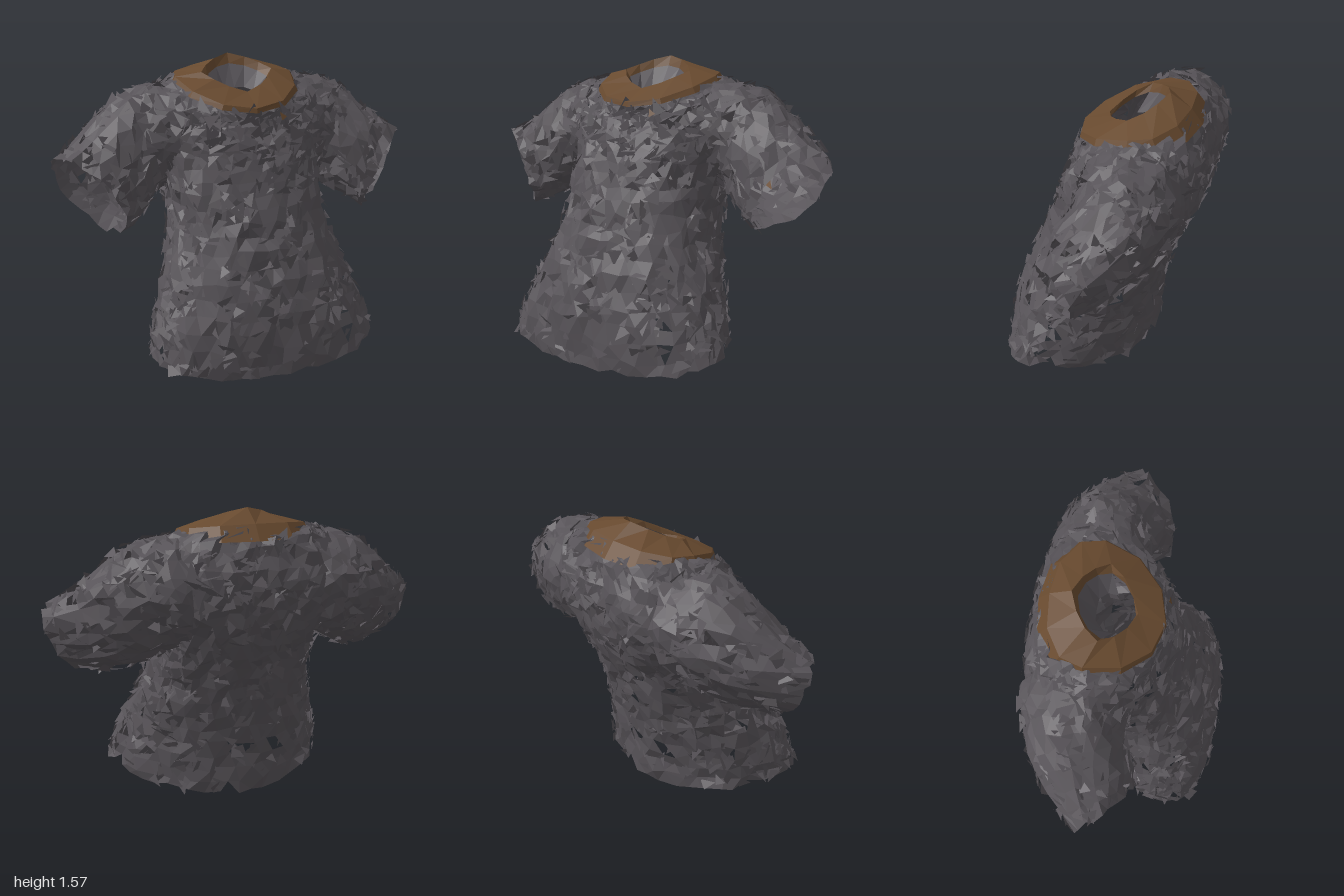
import * as THREE from 'three';

const mail = new THREE.MeshStandardMaterial({ color: 0x575358, side: THREE.DoubleSide, flatShading: true });
mail.name = 'dark grey mail';
const leather = new THREE.MeshStandardMaterial({ color: 0x684a2f, side: THREE.DoubleSide, flatShading: true });
leather.name = 'brown leather';

// Small seeded random, -1..1
let seed = 7;
function rnd() {
  seed = (seed * 16807) % 2147483647;
  return (seed / 2147483647) * 2 - 1;
}
const rndVec = (s) => new THREE.Vector3(rnd() * s, rnd() * s, rnd() * s);

// Smooth interpolation through rows of numbers, t in 0..1
function rowAt(rows, t) {
  const f = Math.min(Math.max(t, 0), 1) * (rows.length - 1);
  const i = Math.min(Math.floor(f), rows.length - 2), k = f - i;
  const a = rows[Math.max(i - 1, 0)], b = rows[i], c = rows[i + 1], d = rows[Math.min(i + 2, rows.length - 1)];
  return b.map((_, j) => b[j] + 0.5 * k * (c[j] - a[j]
    + k * (2 * a[j] - 5 * b[j] + 4 * c[j] - d[j] + k * (3 * (b[j] - c[j]) + d[j] - a[j]))));
}

// Sections: half width, side y, side z, front y, front z, back y, back z,
// squareness of front and of back (2 is an ellipse)
const BODY = [
  [0.62, 0.12, 0.27, 0.02, 0.515, 0.04, -0.285, 2.3, 1.8],
  [0.57, 0.29, 0.20, 0.26, 0.495, 0.26, -0.285, 2.3, 1.9],
  [0.49, 0.50, 0.11, 0.50, 0.43, 0.50, -0.32, 2.4, 2.1],
  [0.425, 0.72, 0.0, 0.72, 0.335, 0.72, -0.375, 2.5, 2.4],
  [0.42, 0.92, -0.10, 0.92, 0.265, 0.92, -0.45, 2.5, 2.8],
  [0.44, 1.10, -0.17, 1.09, 0.205, 1.09, -0.505, 2.5, 3.6],
  [0.45, 1.26, -0.22, 1.20, 0.165, 1.25, -0.515, 2.5, 3.6],
  [0.42, 1.41, -0.22, 1.28, 0.135, 1.40, -0.47, 2.3, 3],
  [0.33, 1.46, -0.20, 1.33, 0.125, 1.495, -0.41, 2, 2.4],
];
const NECK = [0.20, 1.50, -0.15, 1.41, 0.01, 1.575, -0.30, 1.4, 1.4];
const INNER = [0.17, 1.46, -0.14, 1.39, 0.0, 1.52, -0.275, 1.7, 1.7];
const LIP = [0.10, 1.37, -0.10, 1.33, 0.00, 1.40, -0.19, 4, 4];

function sectionPoint(r, u) {
  const a = u * Math.PI * 2, c = Math.cos(a), s = Math.sin(a);
  const [n, o] = s > 0 ? [r[7], 3] : [r[8], 5];
  const rad = (Math.abs(c) ** n + Math.abs(s) ** n) ** (-1 / n), k = Math.abs(s) * rad;
  return new THREE.Vector3(c * rad * r[0], r[1] + (r[o] - r[1]) * k ** 1.3, r[2] + (r[o + 1] - r[2]) * k);
}
const bodyPoint = (u, v) => sectionPoint(rowAt(BODY, v), u);

// Armholes are left open in the body
const outsideArmhole = (p) => Math.abs(p.x) < 0.37 || p.y < 1.13 || p.y > 1.39;

// Sleeve sections: centre, upward half axis, backward half axis
const SLEEVE = [
  [0.33, 1.185, -0.23, 0.02, 0.26, 0, 0.00, 0, -0.27],
  [0.43, 1.17, -0.24, 0.05, 0.265, 0, 0.01, 0, -0.26],
  [0.55, 1.12, -0.225, 0.08, 0.26, 0, 0.04, 0, -0.23],
  [0.69, 1.02, -0.145, 0.10, 0.22, 0, 0.08, 0.02, -0.21],
  [0.84, 0.925, -0.03, 0.08, 0.185, 0, 0.14, 0.05, -0.14],
];
function sleevePoint(side) {
  return (u, v) => {
    const r = rowAt(SLEEVE, v), a = u * Math.PI * 2, c = Math.cos(a), s = Math.sin(a);
    const q = [0, 1, 2].map((i) => r[i] + r[3 + i] * c + r[6 + i] * s);
    return new THREE.Vector3(q[0] * side, q[1], q[2]);
  };
}

function meshFrom(name, points, material) {
  const g = new THREE.BufferGeometry().setFromPoints(points);
  g.computeVertexNormals();
  const m = new THREE.Mesh(g, material);
  m.name = name;
  return m;
}

// Uneven shell over a surface rule, with a few open gaps
function shell(name, fn, nu, nv, jitter, gaps, keep) {
  const grid = [];
  for (let j = 0; j <= nv; j++) {
    grid.push([]);
    for (let i = 0; i < nu; i++) {
      const u = (i + (j % 2) * 0.5 + rnd() * 0.2) / nu;
      grid[j].push(fn(u, j / nv).add(rndVec(jitter)));
    }
  }
  const pts = [];
  for (let j = 0; j < nv; j++) {
    for (let i = 0; i < nu; i++) {
      const n = (i + 1) % nu, lo = grid[j], hi = grid[j + 1];
      // Odd rows sit half a step ahead, so the diagonal alternates
      const tris = j % 2
        ? [[lo[i], hi[n], hi[i]], [lo[i], lo[n], hi[n]]]
        : [[lo[i], lo[n], hi[i]], [lo[n], hi[n], hi[i]]];
      for (const [a, b, c] of tris) {
        const mid = a.clone().add(b).add(c).divideScalar(3);
        if (keep(mid) && rnd() > -1 + gaps * 2) pts.push(a, c, b);
      }
    }
  }
  return meshFrom(name, pts, mail);
}

// One triangle lying near a surface, lifted along the normal and tilted
function scale(fn, u, v, size, lift, tilt) {
  const p = fn(u, v);
  const du = fn(u + 0.005, v).sub(p).normalize();
  const dv = fn(u, v + 0.01 * (v < 0.5 ? 1 : -1)).sub(p).multiplyScalar(v < 0.5 ? 1 : -1).normalize();
  const n = dv.clone().cross(du).normalize();
  const w = n.clone().cross(du);
  const turn = rnd() * Math.PI;
  return [0, 1, 2].map((c) => {
    const a = turn + c * 2.1 + rnd() * 0.6, r = size * (0.85 + rnd() * 0.4);
    return p.clone().addScaledVector(du, Math.cos(a) * r)
      .addScaledVector(w, Math.sin(a) * r).addScaledVector(n, lift + rnd() * tilt);
  });
}

// Loose tilted scales all over a surface
function scales(name, fn, count, size, vMin, vMax, keep) {
  const pts = [];
  for (let k = 0; k < count; k++) {
    const u = rnd() * 0.5 + 0.5, v = vMin + (vMax - vMin) * (rnd() * 0.5 + 0.5);
    if (keep(fn(u, v))) pts.push(...scale(fn, u, v, size, 0, 0.028));
  }
  return meshFrom(name, pts, mail);
}

// Plain band between two sections, over part of the way round
function band(name, low, high, material, from, to) {
  const pts = [], N = 12;
  for (let i = from; i < to; i++) {
    const [a, c, d, e] = [[low, i], [low, i + 1], [high, i], [high, i + 1]].map(([r, k]) => sectionPoint(r, k / N));
    pts.push(a, d, c, c, d, e);
  }
  return meshFrom(name, pts, material);
}

export function createModel() {
  const group = new THREE.Group();
  group.name = 'mailShirt';

  // Body
  group.add(shell('body', bodyPoint, 42, 24, 0.016, 0.04, outsideArmhole));
  group.add(scales('bodyScales', bodyPoint, 1150, 0.054, 0.02, 0.95, outsideArmhole));

  // Sleeves, mirrored
  for (const side of [1, -1]) {
    const label = side > 0 ? 'left' : 'right';
    const fn = sleevePoint(side);
    const all = () => true;
    group.add(shell(label + 'Sleeve', fn, 24, 10, 0.016, 0.03, all));
    group.add(scales(label + 'SleeveScales', fn, 260, 0.052, 0.15, 0.96, all));
  }

  // Collar sloping up to the nape, with a short skirt outside and a lip inside
  const rim = BODY[BODY.length - 1].slice();
  rim[1] += 0.015;
  rim[3] += 0.015;
  rim[4] += 0.02;
  rim[5] += 0.015;
  const skirt = [0.35, 1.44, -0.20, 1.32, 0.15, 1.435, -0.47, 2, 2.4];
  group.add(band('collarSkirt', skirt, rim, leather, 0, 12));
  group.add(band('collar', rim, NECK, leather, 0, 12));
  group.add(band('collarLip', NECK, INNER, leather, 0, 12));
  group.add(band('neckLining', INNER, LIP, mail, 6, 12));

  // Leather showing through on the chest and inside the left sleeve
  group.add(meshFrom('chestPatch', scale(bodyPoint, 0.2, 0.87, 0.025, 0.03, 0), leather));
  group.add(meshFrom('sleeveLiningPatch', scale(sleevePoint(1), 0.4, 0.68, 0.07, -0.04, 0), leather));

  return group;
}
